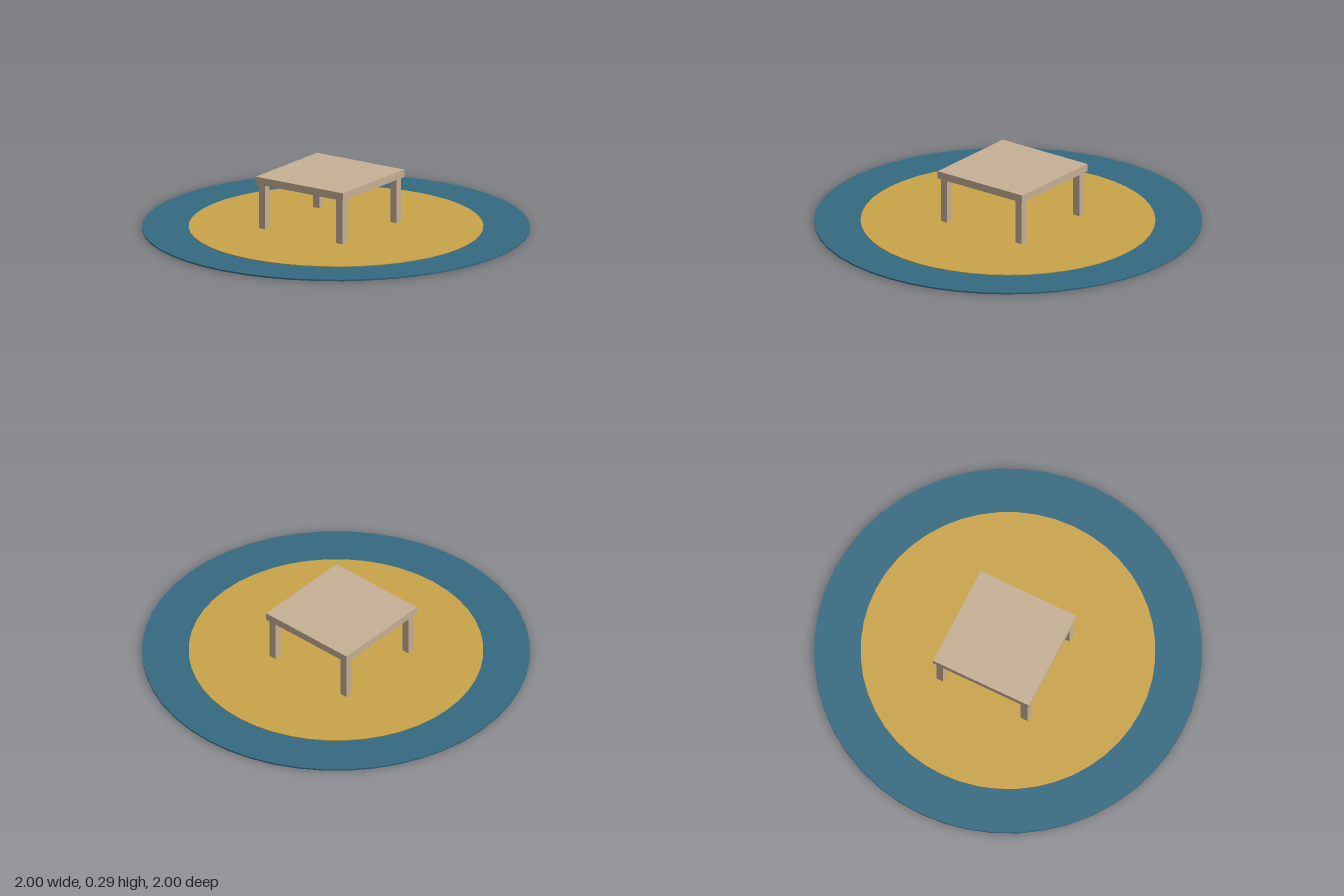
import * as THREE from 'three';

export function createModel() {
  const group = new THREE.Group();
  const blue = new THREE.MeshStandardMaterial({ name: 'rugBlue', color: 0x346981 });
  const gold = new THREE.MeshStandardMaterial({ name: 'rugGold', color: 0xc9a449 });
  const wood = new THREE.MeshStandardMaterial({ name: 'paleWood', color: 0xc6b095 });

  const add = (parent, name, geometry, material, x = 0, y = 0, z = 0) => {
    const mesh = new THREE.Mesh(geometry, material);
    mesh.name = name;
    mesh.position.set(x, y, z);
    parent.add(mesh);
    return mesh;
  };

  // Round rug: a border ring and a slightly raised centre
  const rug = new THREE.Group();
  rug.name = 'rug';
  group.add(rug);
  const ring = new THREE.Shape().absarc(0, 0, 1, 0, Math.PI * 2, false);
  ring.holes.push(new THREE.Path().absarc(0, 0, 0.75, 0, Math.PI * 2, true));
  const border = new THREE.ExtrudeGeometry(ring, { depth: 0.008, bevelEnabled: false, curveSegments: 24 });
  border.rotateX(-Math.PI / 2);
  add(rug, 'rugBorder', border, blue);
  add(rug, 'rugCentre', new THREE.CylinderGeometry(0.76, 0.76, 0.013, 48), gold, 0, 0.0055, 0);
  rug.position.y = 0.001;

  // Low square table, set a little to one side of the rug
  const table = new THREE.Group();
  table.name = 'table';
  table.position.x = -0.038;
  group.add(table);
  add(table, 'tableTop', new THREE.BoxGeometry(0.55, 0.04, 0.55), wood, 0, 0.27, 0);

  // Legs pass through the rug, so their feet show underneath
  const leg = new THREE.BoxGeometry(0.04, 0.252, 0.04);
  for (const x of [-0.243, 0.243]) {
    for (const z of [-0.243, 0.243]) add(table, 'leg', leg, wood, x, 0.125, z);
  }
  return group;
}
